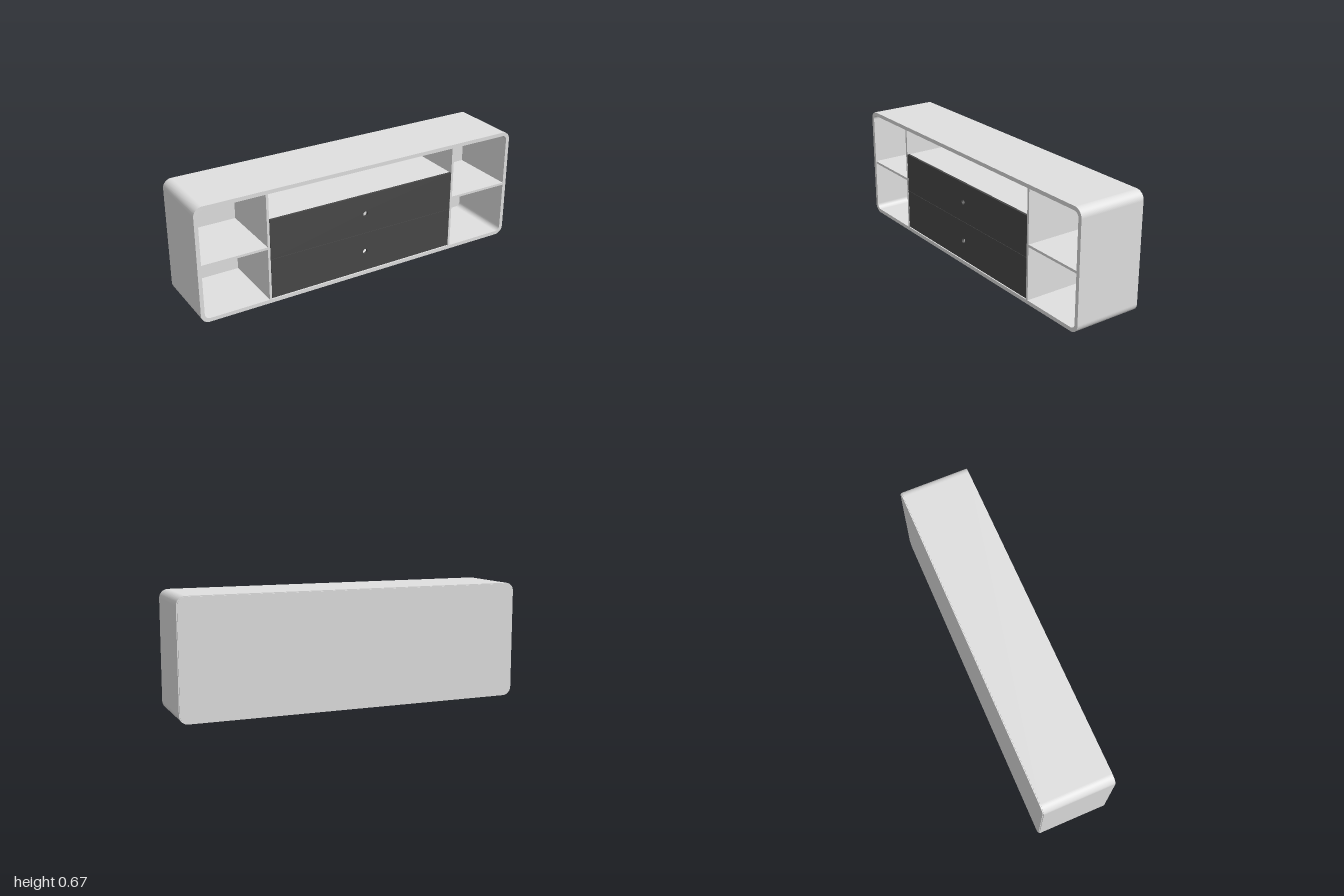
import * as THREE from 'three';

const W = 2, H = 0.67, FRONT = 0.203, BACK = -0.198, WALL = 0.022;

// Rounded rectangle centred on x = 0 and y = H / 2
function roundedRect(w, h, r, path = new THREE.Shape()) {
  const x = w / 2, b = (H - h) / 2, t = (H + h) / 2;
  path.moveTo(-x + r, b);
  path.lineTo(x - r, b);
  path.absarc(x - r, b + r, r, -Math.PI / 2, 0);
  path.lineTo(x, t - r);
  path.absarc(x - r, t - r, r, 0, Math.PI / 2);
  path.lineTo(-x + r, t);
  path.absarc(-x + r, t - r, r, Math.PI / 2, Math.PI);
  path.lineTo(-x, b + r);
  path.absarc(-x + r, b + r, r, Math.PI, Math.PI * 1.5);
  return path;
}

export function createModel() {
  const group = new THREE.Group();
  const body = new THREE.MeshStandardMaterial({ name: 'paleGrey', color: 0xe0e0e0 });
  const dark = new THREE.MeshStandardMaterial({ name: 'charcoal', color: 0x484848 });

  function add(name, geometry, material, x = 0, y = 0, z = 0) {
    const mesh = new THREE.Mesh(geometry, material);
    mesh.name = name;
    mesh.position.set(x, y, z);
    group.add(mesh);
  }
  const extrude = (shape, depth) =>
    new THREE.ExtrudeGeometry(shape, { depth, bevelEnabled: false, curveSegments: 12 });

  // Rounded outer shell, open front and back
  const shell = roundedRect(W, H, 0.05);
  shell.holes.push(roundedRect(W - 2 * WALL, H - 2 * WALL, 0.03, new THREE.Path()));
  add('outerShell', extrude(shell, FRONT - BACK), body, 0, 0, BACK);

  // Thin back panel, slightly smaller than the shell
  add('backPanel', extrude(roundedRect(W - 0.01, H - 0.01, 0.045), 0.005), body, 0, 0, -0.203);

  // Dividers and side shelves
  const depth = FRONT - BACK - 0.001, midZ = (FRONT + BACK) / 2 - 0.0005;
  for (const [side, s] of [['left', 1], ['right', -1]]) {
    add(side + 'Divider', new THREE.BoxGeometry(0.014, H - 2 * WALL, depth), body, s * 0.593, H / 2, midZ);
    add(side + 'Shelf', new THREE.BoxGeometry(0.378, 0.014, depth), body, s * 0.789, H / 2, midZ);
  }

  // Shelf over the drawers
  add('middleShelf', new THREE.BoxGeometry(1.172, 0.014, 0.386), body, 0, 0.488, -0.005);

  // Drawer fronts with a round finger hole
  for (const [name, y0, y1] of [['lowerDrawer', 0.027, 0.263], ['upperDrawer', 0.265, 0.497]]) {
    const front = new THREE.Shape([
      new THREE.Vector2(-0.585, y0), new THREE.Vector2(0.585, y0),
      new THREE.Vector2(0.585, y1), new THREE.Vector2(-0.585, y1),
    ]);
    const hole = new THREE.Path();
    hole.absarc(0.005, (y0 + y1) / 2 + 0.002, 0.015, 0, Math.PI * 2, true);
    front.holes.push(hole);
    add(name, extrude(front, 0.014), dark, 0, 0, FRONT - 0.015);
  }
  return group;
}
